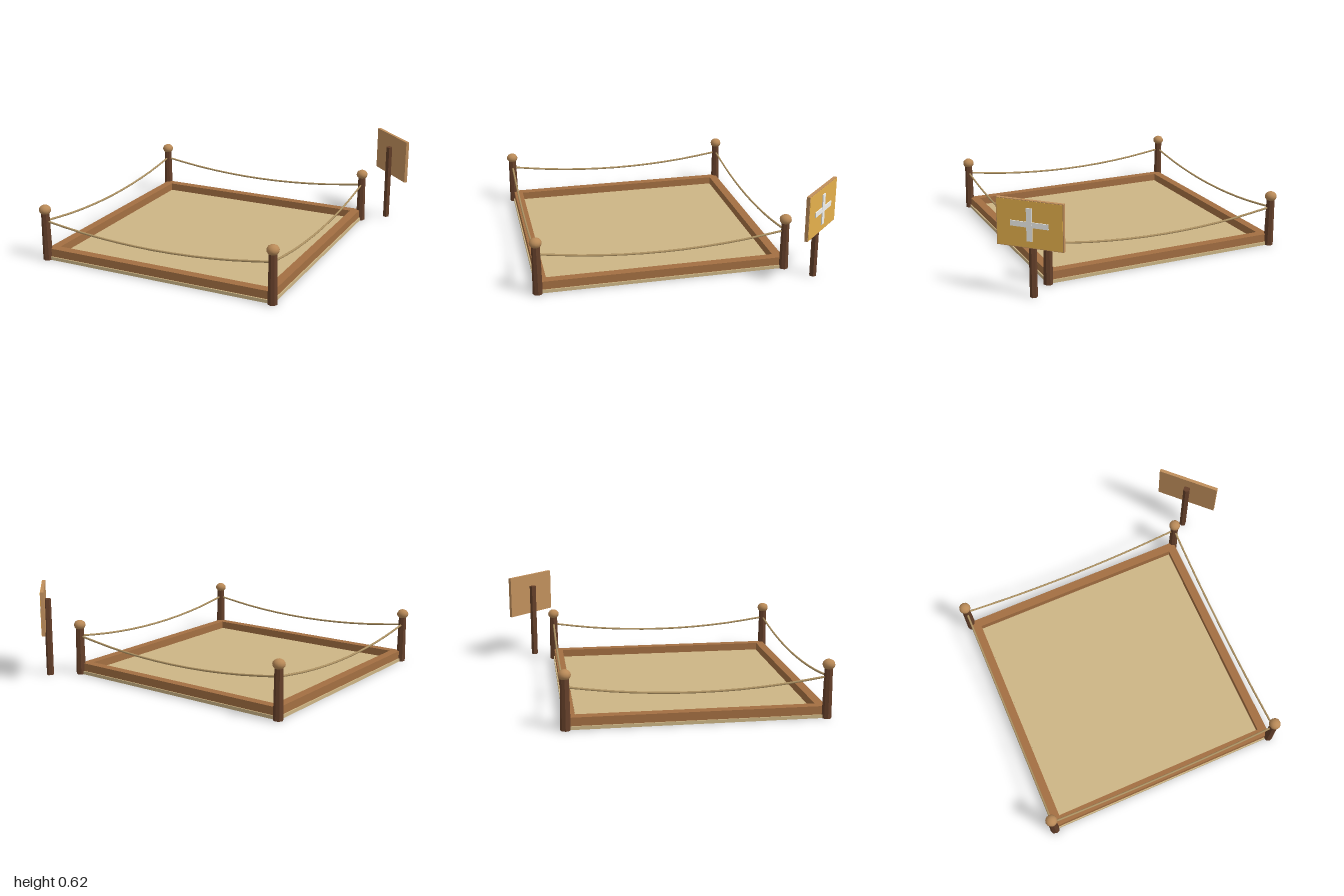
import * as THREE from 'three';

const mat = (color, flatShading = false) => new THREE.MeshStandardMaterial({ color, flatShading });

export function createModel() {
  const root = new THREE.Group();
  const sand = mat(0xcdb585), wood = mat(0xa36f42), darkWood = mat(0x65402a, true);
  const knobWood = mat(0xb98a58), ropeTan = mat(0xb09464);
  const boardWood = mat(0xc08f5c), yellow = mat(0xe5b04c), white = mat(0xf2f2ee);

  const add = (parent, name, geometry, material, x = 0, y = 0, z = 0) => {
    const mesh = new THREE.Mesh(geometry, material);
    mesh.name = name;
    mesh.position.set(x, y, z);
    parent.add(mesh);
    return mesh;
  };

  // Square arena, offset so the sign fits beside its back left corner
  const arena = new THREE.Group();
  arena.name = 'arena';
  arena.position.set(-0.146, 0, 0.139);
  root.add(arena);

  add(arena, 'base', new THREE.BoxGeometry(1.64, 0.022, 1.64), sand, 0, 0.011, 0);
  add(arena, 'floor', new THREE.BoxGeometry(1.485, 0.006, 1.485), sand, 0, 0.024, 0);

  // Four identical sides: rail, corner post with knob, sagging rope
  const half = 0.813;
  const ropePoints = [];
  for (let i = 0; i <= 6; i++) {
    const t = i / 3 - 1;
    ropePoints.push(new THREE.Vector3(t * 0.8, 0.203 + 0.065 * t * t, half));
  }
  const ropeGeometry = new THREE.TubeGeometry(new THREE.CatmullRomCurve3(ropePoints), 12, 0.007, 6);
  for (let i = 0; i < 4; i++) {
    const side = new THREE.Group();
    side.name = 'side';
    side.rotation.y = i * Math.PI / 2;
    arena.add(side);
    add(side, 'rail', new THREE.BoxGeometry(1.565, 0.054, 0.06), wood, 0.03, 0.049, 0.782);
    add(side, 'rope', ropeGeometry, ropeTan);
    add(side, 'post', new THREE.CylinderGeometry(0.027, 0.032, 0.33, 8), darkWood, half, 0.165, half);
    const knob = add(side, 'knob', new THREE.SphereGeometry(0.04, 12, 8), knobWood, half, 0.346, half);
    knob.scale.y = 0.85;
  }

  // Sign facing outward from the corner
  const sign = new THREE.Group();
  sign.name = 'sign';
  sign.position.set(0.838, 0, -0.84);
  sign.rotation.y = Math.PI * 0.75;
  root.add(sign);
  const y = 0.474;
  add(sign, 'signPost', new THREE.CylinderGeometry(0.024, 0.024, 0.535, 6), darkWood, 0, 0.2675, -0.027);
  add(sign, 'signBoard', new THREE.BoxGeometry(0.43, 0.296, 0.022), boardWood, 0, y, 0);
  add(sign, 'signPanel', new THREE.BoxGeometry(0.42, 0.288, 0.004), yellow, 0, y, 0.011);
  add(sign, 'crossBar', new THREE.BoxGeometry(0.245, 0.034, 0.008), white, 0, y, 0.015);
  add(sign, 'crossUpright', new THREE.BoxGeometry(0.036, 0.205, 0.009), white, 0, y, 0.015);

  return root;
}
